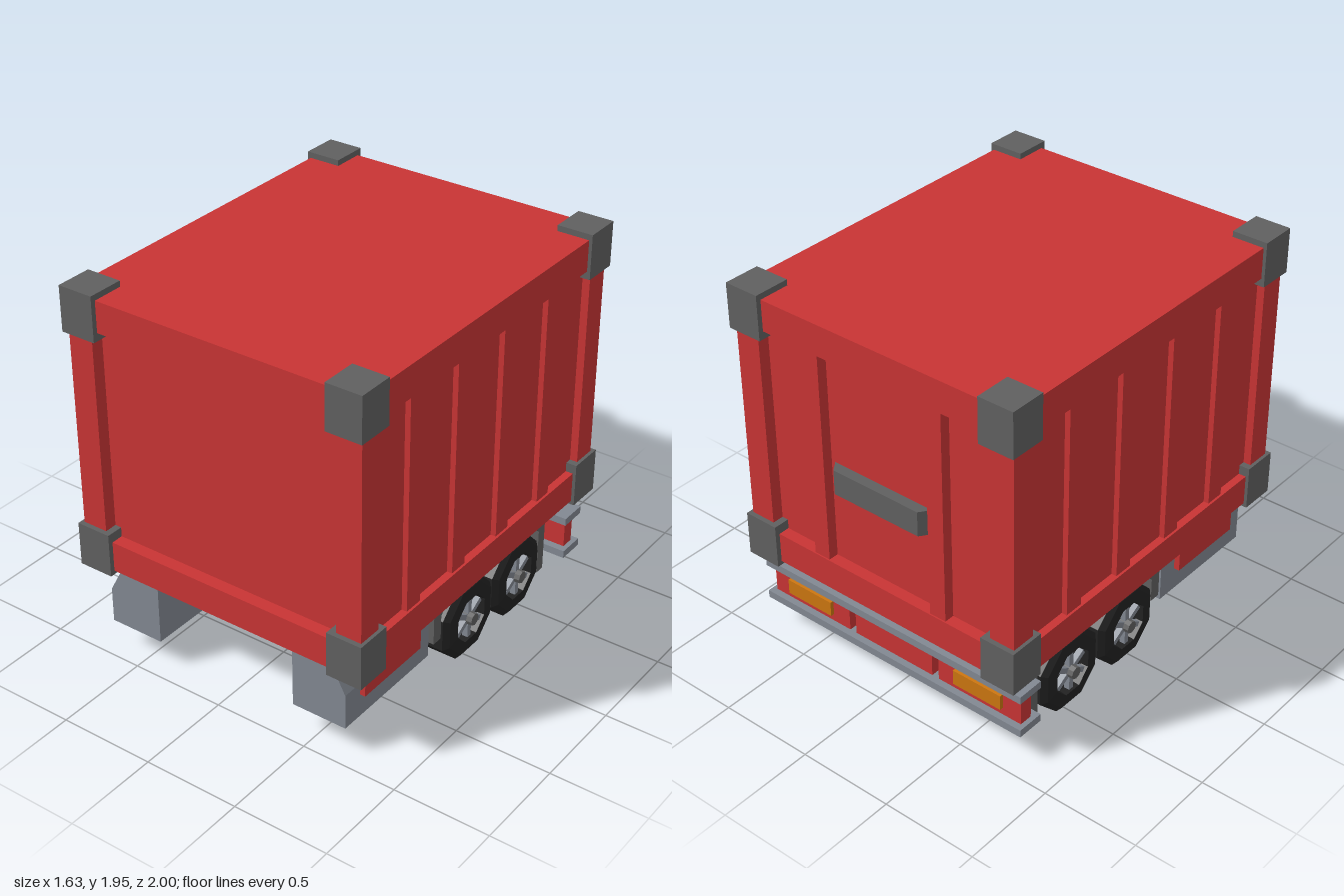
import * as THREE from 'three';

const mat = (name, color, extra = {}) => {
  const m = new THREE.MeshStandardMaterial({ color, flatShading: true, ...extra });
  m.name = name;
  return m;
};

export function createModel() {
  const red = mat('containerRed', 0xc83434);
  const iron = mat('ironGrey', 0x606060);
  const steel = mat('steelGrey', 0x828892);
  const rubber = mat('tyreBlack', 0x222222);
  const amber = mat('lampAmber', 0xcc7610);
  const rimDark = mat('rimDark', 0x353535);

  const root = new THREE.Group();
  root.name = 'containerTrailer';

  const add = (name, geo, material, parent = root) => {
    const m = new THREE.Mesh(geo, material);
    m.name = name;
    parent.add(m);
    return m;
  };
  // Box given by its minimum and maximum on each axis
  const box = (name, material, x0, x1, y0, y1, z0, z1, parent = root) => {
    const m = add(name, new THREE.BoxGeometry(x1 - x0, y1 - y0, z1 - z0), material, parent);
    m.position.set((x0 + x1) / 2, (y0 + y1) / 2, (z0 + z1) / 2);
    return m;
  };
  const polygon = (pts) => new THREE.Shape(pts.map(([x, y]) => new THREE.Vector2(x, y)));
  const extrude = (pts, depth) =>
    new THREE.ExtrudeGeometry(polygon(pts), { depth, bevelEnabled: false });

  // Container: recessed panels inside a frame of rails and posts
  box('containerPanels', red, -0.76, 0.76, 0.53, 1.9, -0.915, 0.91);
  box('roof', red, -0.8, 0.8, 1.76, 1.92, -0.975, 0.975);
  for (const s of [-1, 1]) {
    const sx = (name, m, a, b, ...r) => box(name, m, Math.min(s * a, s * b), Math.max(s * a, s * b), ...r);
    sx('sideBottomRail', red, 0.7, 0.8, 0.49, 0.65, -0.975, 0.975);
    box('endBottomRail', red, -0.7, 0.7, 0.49, 0.65, s > 0 ? 0.88 : -0.975, s > 0 ? 0.975 : -0.88);
    for (const t of [-1, 1]) {
      const z0 = t > 0 ? 0.845 : -0.975;
      sx('cornerPost', red, 0.665, 0.8, 0.65, 1.76, z0, z0 + 0.13);
      const c = t > 0 ? 0.81 : -1;
      sx('lowerCornerCasting', iron, 0.63, 0.817, 0.47, 0.7, c, c + 0.19);
      sx('upperCornerCasting', iron, 0.63, 0.817, 1.72, 1.95, c, c + 0.19);
    }
    // Side wall ribs and rear door ribs
    for (const z of [0.56, 0.197, -0.173, -0.54])
      sx('sideRib', red, 0.75, 0.788, 0.65, 1.76, z - 0.051, z + 0.051);
    sx('doorRib', red, 0.31, 0.4, 0.65, 1.76, -0.968, -0.9);
  }

  // Door latch bar with chamfered ends
  const latch = add('doorLatch', extrude(
    [[-0.29, 0], [-0.25, -0.055], [0.25, -0.055], [0.29, 0]].map(([x, z]) => [x, -z]).reverse(), 0.13), iron);
  latch.rotation.x = -Math.PI / 2;
  latch.position.set(0, 1.05, -0.913);

  // Wheel, built around +y and turned so that its outer face looks along +x
  const R = 0.205 / Math.cos(Math.PI / 8);
  const tyreProfile = [[0.13, 0], [R - 0.02, 0], [R, 0.02], [R, 0.215], [R - 0.03, 0.24], [0.125, 0.245], [0.12, 0.2]]
    .map(([r, y]) => new THREE.Vector2(r, y));
  const makeWheel = () => {
    const w = new THREE.Group();
    w.name = 'wheel';
    add('tyre', new THREE.LatheGeometry(tyreProfile, 8, Math.PI / 8), rubber, w);
    const disc = add('rim', new THREE.CylinderGeometry(0.13, 0.13, 0.2, 8), rimDark, w);
    disc.rotation.y = Math.PI / 8;
    disc.position.y = 0.105;
    for (let i = 0; i < 6; i++) {
      const arm = new THREE.Group();
      arm.name = 'spokeArm';
      arm.rotation.y = (i * Math.PI) / 3;
      box('spoke', steel, 0.02, 0.11, 0.2, 0.235, -0.014, 0.014, arm);
      w.add(arm);
    }
    const hub = add('hub', new THREE.CylinderGeometry(0.032, 0.036, 0.07, 8), iron, w);
    hub.position.y = 0.23;
    return w;
  };

  // Running gear, one copy on each side
  for (const s of [1, -1]) {
    const side = new THREE.Group();
    side.name = s > 0 ? 'leftRunningGear' : 'rightRunningGear';
    root.add(side);

    for (const z of [-0.03, -0.46]) {
      const w = makeWheel();
      w.rotation.z = -s * Math.PI / 2;
      w.position.set(s * 0.485, 0.205, z);
      side.add(w);
    }

    // Arched mudguard over both wheels
    const guard = add('mudguard', extrude([
      [-0.25, 0.205], [-0.19, 0.205], [-0.19, 0.335], [-0.11, 0.43], [0.6, 0.43],
      [0.685, 0.335], [0.685, 0.085], [0.74, 0.085], [0.74, 0.54], [-0.25, 0.54],
    ], 0.3), iron, side);
    guard.rotation.y = Math.PI / 2;
    guard.position.x = s > 0 ? 0.4 : -0.7;

    // Front tank with a sloping shoulder, and the red locker on its outside
    let tankPts = [[0.395, 0.155], [0.69, 0.155], [0.69, 0.34], [0.61, 0.49], [0.61, 0.54], [0.395, 0.54]];
    if (s < 0) tankPts = tankPts.map(([x, y]) => [-x, y]).reverse();
    add('frontTank', extrude(tankPts, 0.66), steel, side).position.z = 0.28;
    const locker = [[0.6, 0.72], [-0.72, -0.6]][s > 0 ? 0 : 1];
    box('sideLocker', red, ...locker, 0.28, 0.485, 0.39, 0.83, side);
  }

  // Rear bumper: two rails, three plates, hangers and lamps
  for (const y of [0.16, 0.355])
    box('bumperRail', steel, -0.795, 0.795, y, y + 0.04, -0.925, -0.78);
  box('bumperCentrePlate', red, -0.24, 0.24, 0.2, 0.355, -0.89, -0.82);
  for (const s of [-1, 1]) {
    const c = s * 0.525;
    box('bumperSidePlate', red, c - 0.245, c + 0.245, 0.2, 0.355, -0.89, -0.82);
    box('bumperHanger', rubber, s * 0.268 - 0.028, s * 0.268 + 0.028, 0.39, 0.54, -0.89, -0.82);
    box('rearLamp', amber, c - 0.14, c + 0.14, 0.24, 0.32, -0.91, -0.885);
  }
  return root;
}
